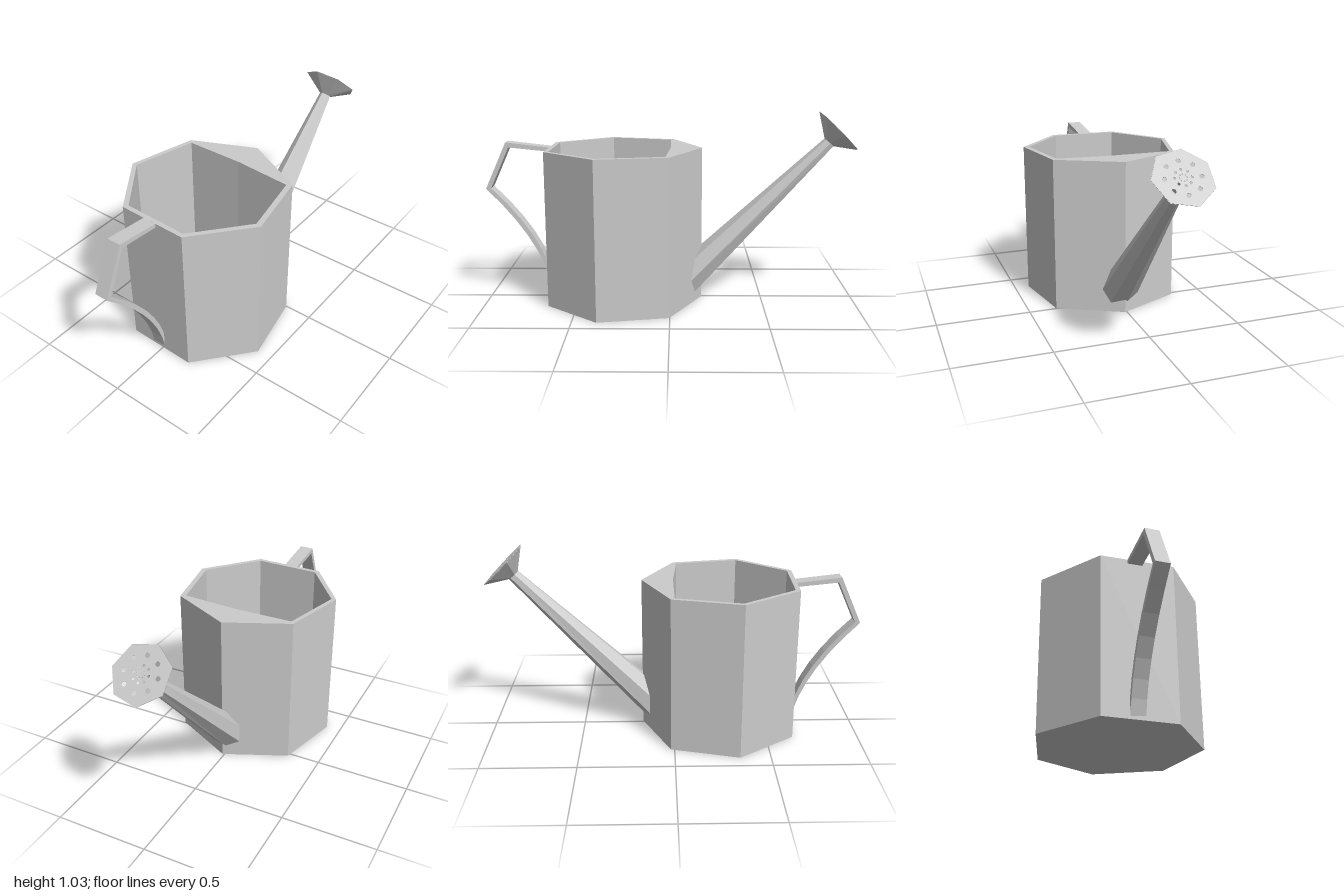
import * as THREE from 'three';

const grey = new THREE.MeshStandardMaterial({ color: 0xcccccc, flatShading: true });
const greyThin = new THREE.MeshStandardMaterial({ color: 0xcccccc, flatShading: true, side: THREE.DoubleSide });
const SIDES = 7;

function part(name, geometry, material = grey) {
  const mesh = new THREE.Mesh(geometry, material);
  mesh.name = name;
  return mesh;
}

// Plan outline given as (x, z), turned for extruding upwards
const plan = (list) => list.map(([x, z]) => new THREE.Vector2(x, -z));

// Extrude a plan outline upwards from the ground; the hole winds the other way
function extrudeUp(outline, height, hole) {
  const shape = new THREE.Shape(plan(outline));
  if (hole) shape.holes.push(new THREE.Path(plan(hole).reverse()));
  return new THREE.ExtrudeGeometry(shape, { depth: height, bevelEnabled: false }).rotateX(-Math.PI / 2);
}

// Quadratic curve through (z, y) control points, as seven straight segments
const bend = (...ends) => new THREE.QuadraticBezierCurve(...ends.map((p) => new THREE.Vector2(...p))).getPoints(7);

// Seven-sided ring: half-width rx along x, and a second half-axis (0, vy, vz)
function ring(y, z, rx, vy, vz) {
  return Array.from({ length: SIDES }, (_, i) => {
    const a = (i / SIDES) * Math.PI * 2;
    return [0.016 + rx * Math.cos(a), y + vy * Math.sin(a), z + vz * Math.sin(a)];
  });
}

// Join two rings with flat facets
function loft(a, b) {
  const pos = [];
  for (let i = 0; i < SIDES; i++) {
    const j = (i + 1) % SIDES;
    pos.push(...a[i], ...b[i], ...a[j], ...b[i], ...b[j], ...a[j]);
  }
  const g = new THREE.BufferGeometry();
  g.setAttribute('position', new THREE.Float32BufferAttribute(pos, 3));
  g.computeVertexNormals();
  return g;
}

export function createModel() {
  const model = new THREE.Group();
  model.name = 'wateringCan';

  // Seven-sided can with a solid wedge behind the spout
  const outer = [[0.01, -0.17], [0.35, 0.003], [0.42, 0.373], [0.176, 0.655], [-0.2, 0.645], [-0.42, 0.34], [-0.325, -0.02]];
  const inner = [[0.01, -0.002], [0.325, 0.022], [0.39, 0.367], [0.165, 0.63], [-0.185, 0.62], [-0.395, 0.335], [-0.305, 0]];
  model.add(part('canWall', extrudeUp(outer, 0.836, inner)));
  model.add(part('canFloor', extrudeUp(inner, 0.03)));

  // Handle: a flat strap drawn in (z, y) and extruded across x
  const strap = new THREE.Shape([
    new THREE.Vector2(0.635, 0.812),
    new THREE.Vector2(0.87, 0.836),
    ...bend([0.972, 0.613], [0.665, 0.32], [0.63, 0.01]),
    ...bend([1.0, 0.61], [0.69, 0.305], [0.648, 0.01]).reverse(),
    new THREE.Vector2(0.885, 0.863),
    new THREE.Vector2(0.635, 0.834),
  ]);
  const handle = new THREE.ExtrudeGeometry(strap, { depth: 0.075, bevelEnabled: false });
  model.add(part('handle', handle.rotateY(-Math.PI / 2).translate(0.013, 0, 0)));

  // Tapered spout and flared rose
  const R = 0.15, S = Math.SQRT1_2;
  const base = ring(0.122, -0.11, 0.104, 0.125, 0);
  const tip = ring(0.866, -0.845, 0.033, 0.022, 0.025);
  const rim = ring(0.925, -0.895, R, R * S, R * S);
  model.add(part('spout', loft(base, tip), greyThin));
  model.add(part('roseCone', loft(tip, rim), greyThin));

  // Perforated face of the rose, set just inside the rim
  const face = new THREE.Shape(Array.from({ length: SIDES }, (_, i) => {
    const a = (i / SIDES) * Math.PI * 2;
    return new THREE.Vector2((R - 0.002) * Math.cos(a), (R - 0.002) * Math.sin(a));
  }));
  for (const [count, radius, size] of [[8, 0.087, 0.012], [8, 0.04, 0.007], [8, 0.018, 0.004]]) {
    for (let i = 0; i < count; i++) {
      const a = (i / count) * Math.PI * 2;
      const hole = new THREE.Path();
      hole.absarc(radius * Math.cos(a), radius * Math.sin(a), size, 0, Math.PI * 2, true);
      face.holes.push(hole);
    }
  }
  const plate = new THREE.ExtrudeGeometry(face, { depth: 0.002, bevelEnabled: false, curveSegments: 5 });
  plate.rotateX(-Math.PI * 0.75).translate(0.016, 0.924, -0.894);
  model.add(part('roseFace', plate));

  return model;
}
